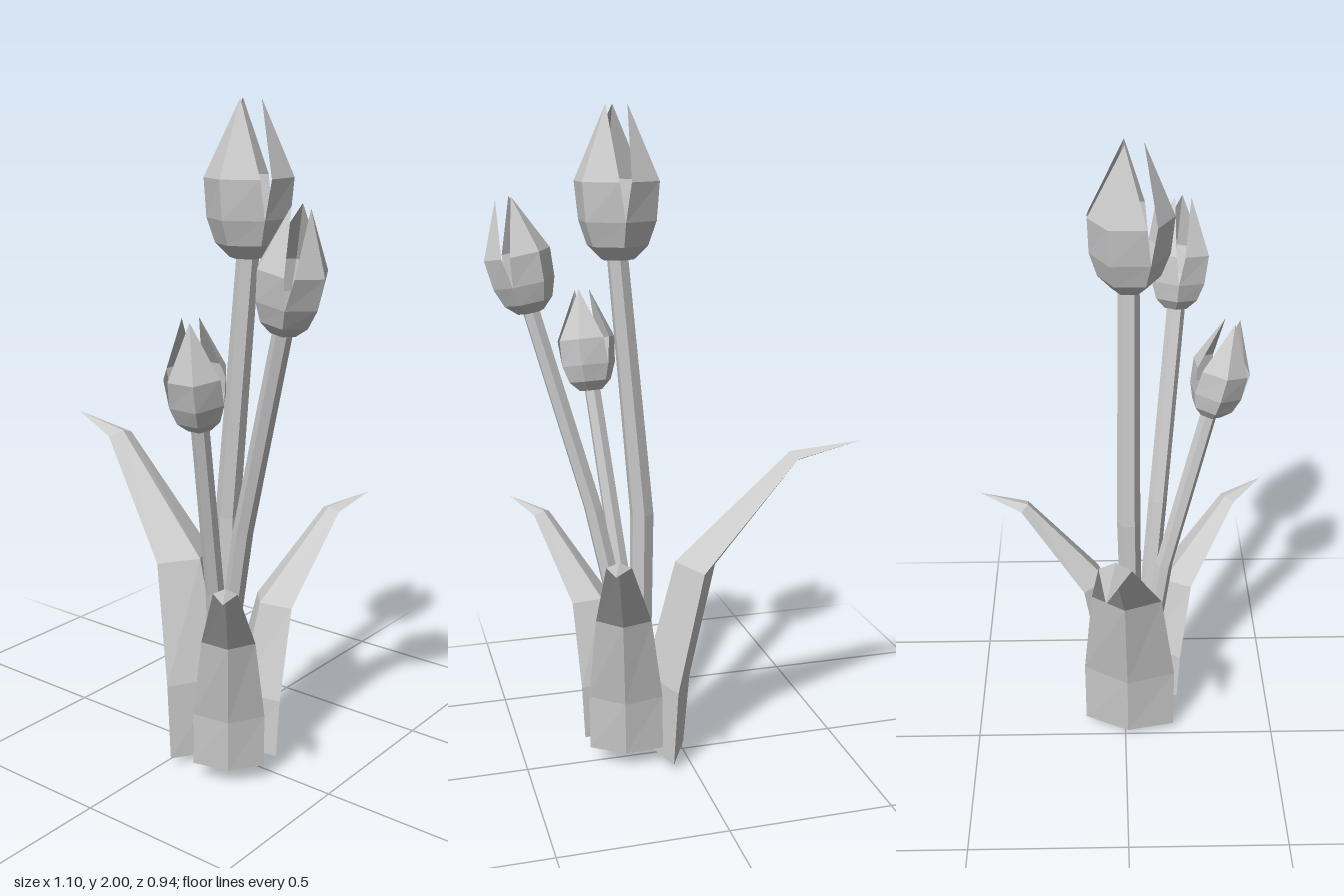
import * as THREE from 'three';

const material = new THREE.MeshStandardMaterial({ color: 0xcccccc, side: THREE.DoubleSide });
material.name = 'plain grey';

// Flat-faceted skin through rings of [x, y, z] points, with optional end caps
function loft(rings, { closed = true, capStart = false, capEnd = false } = {}) {
  const pos = [];
  const tri = (a, b, c) => pos.push(...a, ...b, ...c);
  for (let i = 0; i < rings.length - 1; i++) {
    const low = rings[i], high = rings[i + 1], n = low.length;
    for (let j = 0; j < (closed ? n : n - 1); j++) {
      const k = (j + 1) % n;
      tri(low[j], high[j], low[k]);
      tri(low[k], high[j], high[k]);
    }
  }
  const first = rings[0], last = rings[rings.length - 1];
  for (let j = 1; j < first.length - 1; j++) {
    if (capStart) tri(first[0], first[j], first[j + 1]);
    if (capEnd) tri(last[0], last[j + 1], last[j]);
  }
  const g = new THREE.BufferGeometry();
  g.setAttribute('position', new THREE.Float32BufferAttribute(pos, 3));
  g.computeVertexNormals();
  return g;
}

function mesh(name, geometry) {
  const m = new THREE.Mesh(geometry, material);
  m.name = name;
  return m;
}

// Leaf sections: keel reach and height, inner ridge reach and height, half width
const LEAF = [
  [0, 0, -0.125, 0.005, 0.15],
  [0.02, 0.23, -0.12, 0.25, 0.15],
  [0.10, 0.60, -0.025, 0.615, 0.11],
  [0.355, 0.925, 0.33, 0.955, 0.047],
  [0.55, 0.98, 0.55, 0.98, 0],
];

// Solid leaf with a diamond section, running outward to its tip
function leaf(name, tip, baseY, scale, dx, dz) {
  const len = Math.hypot(dx, dz);
  dx /= len; dz /= len;
  const rings = LEAF.map(([ro, yo, ri, yi, w]) => {
    const point = (r, y, side) => [
      tip[0] + scale * (dx * (r - 0.55) - dz * side),
      baseY + scale * y,
      tip[1] + scale * (dz * (r - 0.55) + dx * side),
    ];
    const rm = ro * 0.6 + ri * 0.4, ym = (yo + yi) / 2;
    return [point(ro, yo, 0), point(rm, ym, w), point(ri, yi, 0), point(rm, ym, -w)];
  });
  return mesh(name, loft(rings, { capStart: true }));
}

// Six-sided stem through a few centre points [x, y, z, radius]
function stem(name, points) {
  const rings = points.map(([x, y, z, r]) => Array.from({ length: 6 }, (_, j) => {
    const a = (j + 0.5) * Math.PI / 3;
    return [x + r * Math.cos(a), y, z + r * Math.sin(a)];
  }));
  return mesh(name, loft(rings, { capStart: true, capEnd: true }));
}

// Petal sections: height, radius at the middle, radius at the sides, half angle in degrees
const PETAL = [
  [0, 0.05, 0.05, 60],
  [0.04, 0.092, 0.092, 60],
  [0.11, 0.118, 0.116, 60],
  [0.22, 0.128, 0.122, 52],
  [0.43, 0.036, 0.036, 0],
];

// Bud of three pointed petals on a closed hexagonal cup
function flower(name, base, axis, scale, phase) {
  const g = new THREE.Group();
  g.name = name;
  for (let i = 0; i < 3; i++) {
    const mid = THREE.MathUtils.degToRad(phase + i * 120);
    const rings = PETAL.map(([y, rm, rs, deg]) => [-1, 0, 1].map((s) => {
      const a = mid + s * THREE.MathUtils.degToRad(deg);
      const r = s === 0 ? rm : rs;
      return [r * Math.cos(a), y, r * Math.sin(a)];
    }));
    g.add(mesh('petal', loft(rings, { closed: false })));
  }
  const cap = new THREE.CircleGeometry(0.05, 6);
  cap.rotateX(Math.PI / 2).rotateY(-THREE.MathUtils.degToRad(phase));
  g.add(mesh('flowerBase', cap));
  g.scale.setScalar(scale);
  g.position.set(...base);
  g.quaternion.setFromUnitVectors(new THREE.Vector3(0, 1, 0), new THREE.Vector3(...axis).normalize());
  return g;
}

export function createModel() {
  const model = new THREE.Group();
  model.name = 'flowerCluster';

  // Three leaves around the stems
  model.add(
    leaf('rightLeaf', [-0.55, -0.063], 0.02, 1, -0.99, -0.13),
    leaf('backLeaf', [0.315, -0.475], 0.05, 0.755, 0.27, -0.96),
    leaf('frontLeaf', [0.46, 0.47], 0.05, 0.71, 0.57, 0.82),
  );

  // Three stems fanning out from one foot
  model.add(
    stem('tallStem', [[0.135, 0.01, 0.03, 0.034], [0.125, 0.8, 0.012, 0.037], [0.19, 1.58, 0.012, 0.032]]),
    stem('middleStem', [[0.14, 0, 0.04, 0.03], [0.185, 0.45, 0.08, 0.03], [0.255, 0.8, 0.11, 0.03], [0.42, 1.41, 0.165, 0.028]]),
    stem('shortStem', [[0.135, 0.01, 0.05, 0.028], [0.17, 0.6, 0.13, 0.028], [0.22, 1.15, 0.265, 0.026]]),
  );

  // Flowers on the stem ends
  model.add(
    flower('tallFlower', [0.19, 1.57, 0.013], [0, 1, 0.01], 1, 90),
    flower('middleFlower', [0.42, 1.405, 0.162], [0.19, 1, 0.06], 0.79, 0),
    flower('shortFlower', [0.222, 1.135, 0.265], [0.05, 1, 0.2], 0.73, 55),
  );
  return model;
}
